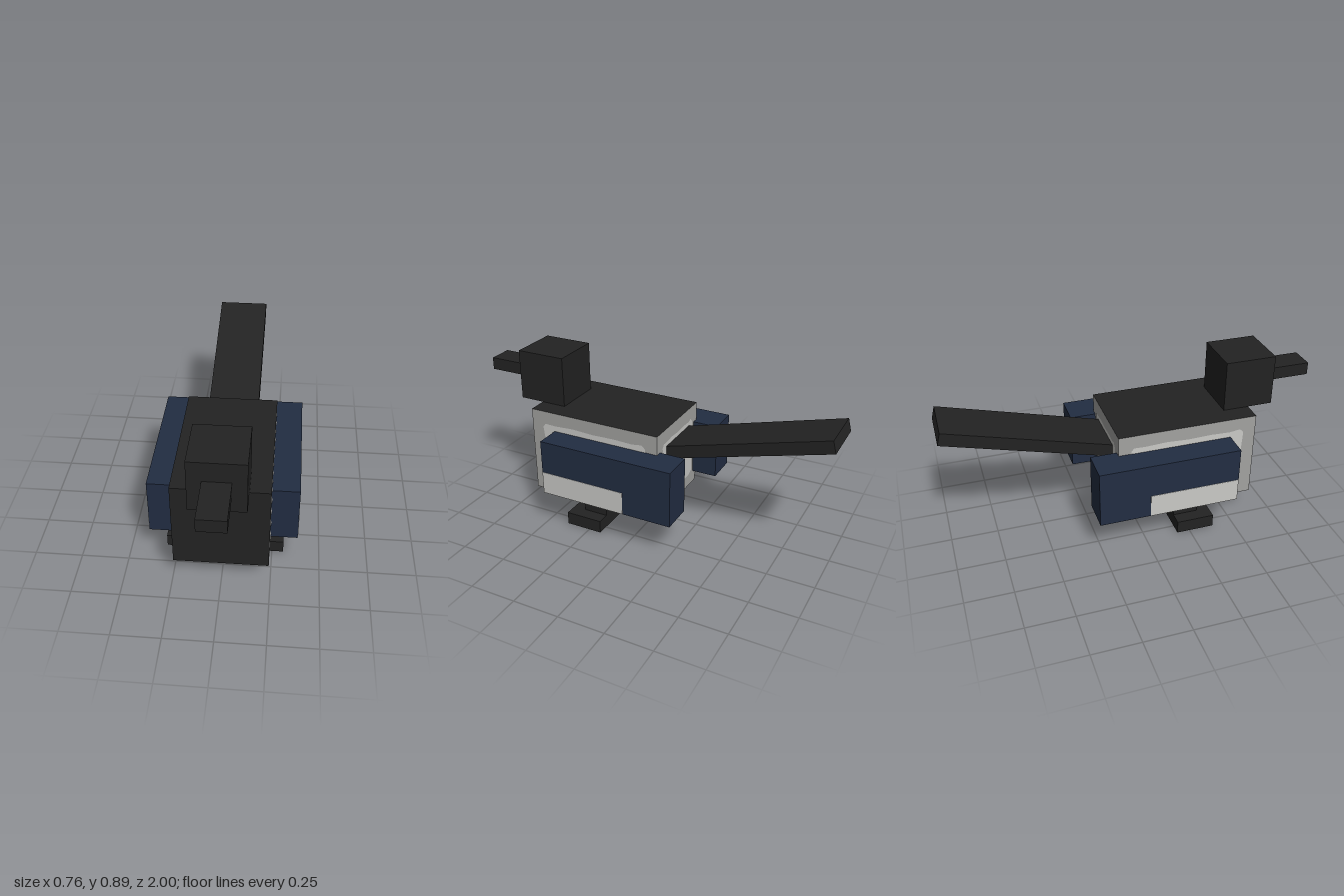
import * as THREE from 'three';

const paint = (name, color) => {
  const m = new THREE.MeshStandardMaterial({ color });
  m.name = name;
  return m;
};

export function createModel() {
  const black = paint('black feathers', 0x232323);
  const navy = paint('navy wing', 0x222d42);
  const grey = paint('grey flank', 0xa2a2a0);
  const pale = paint('pale patch', 0xc9c9c6);

  const model = new THREE.Group();
  model.name = 'bird';

  // Box given by its minimum and maximum corners
  const box = (name, material, [x0, y0, z0], [x1, y1, z1], parent = model) => {
    const mesh = new THREE.Mesh(new THREE.BoxGeometry(x1 - x0, y1 - y0, z1 - z0), material);
    mesh.position.set((x0 + x1) / 2, (y0 + y1) / 2, (z0 + z1) / 2);
    mesh.name = name;
    parent.add(mesh);
    return mesh;
  };

  // Body: black front and top, grey elsewhere
  box('body', [grey, grey, black, grey, black, grey], [-0.24, 0.14, -0.13], [0.24, 0.62, 0.625]);

  // Head and beak
  box('head', black, [-0.137, 0.62, 0.485], [0.137, 0.895, 0.76]);
  box('beak', black, [-0.068, 0.722, 0.76], [0.068, 0.79, 1]);

  // Tail, raised by 15 degrees; its far end sits at z = -1
  const tail = new THREE.Group();
  tail.name = 'tail';
  tail.position.set(0, 0.717, -0.991);
  tail.rotation.x = THREE.MathUtils.degToRad(15);
  box('tailFeathers', black, [-0.137, -0.034, 0], [0.137, 0.034, 0.96], tail);
  model.add(tail);

  // Uneven pale patch with slightly wavy edges, centred on its own origin
  const patch = (name, w, h) => {
    const a = w / 2, b = h / 2;
    const pts = [
      [-a, -b], [-a + 0.03, -b + 0.008], [0, -b], [a - 0.03, -b + 0.004], [a, -b + 0.02],
      [a - 0.008, 0], [a, b - 0.02], [a - 0.02, b], [a * 0.75, b - 0.008], [a * 0.4, b - 0.004],
      [0, b - 0.008], [-a * 0.4, b - 0.002], [-a * 0.75, b - 0.008], [-a + 0.015, b - 0.006],
      [-a, b - 0.025], [-a + 0.01, b * 0.4], [-a + 0.002, -b * 0.4],
    ].map(([x, y]) => new THREE.Vector2(x, y));
    const mesh = new THREE.Mesh(new THREE.ShapeGeometry(new THREE.Shape(pts)), pale);
    mesh.name = name;
    model.add(mesh);
    return mesh;
  };
  const rump = patch('rumpPatch', 0.36, 0.345);
  rump.rotation.y = Math.PI;
  rump.position.set(0, 0.38, -0.132);

  for (const [side, s] of [['left', 1], ['right', -1]]) {
    // Flank patch
    const flank = patch(side + 'FlankPatch', 0.62, 0.345);
    flank.rotation.y = s * Math.PI / 2;
    flank.position.set(s * 0.242, 0.382, 0.247);

    // Wing with a pale bar on the lower front of its outer face
    const span = (a, b) => (s > 0 ? [a, b] : [-b, -a]);
    const [w0, w1] = span(0.205, 0.378);
    box(side + 'Wing', navy, [w0, 0.208, -0.27], [w1, 0.516, 0.485]);
    const [p0, p1] = span(0.377, 0.38);
    box(side + 'WingBar', pale, [p0, 0.209, 0], [p1, 0.334, 0.484]);

    // Leg
    const [l0, l1] = span(0.07, 0.24);
    box(side + 'Leg', black, [l0, 0.07, 0.18], [l1, 0.14, 0.315]);

    // Foot, meeting the other one in the middle
    const [f0, f1] = span(0, 0.31);
    box(side + 'Foot', black, [f0, 0, 0.18], [f1, 0.07, 0.385]);
  }

  return model;
}
